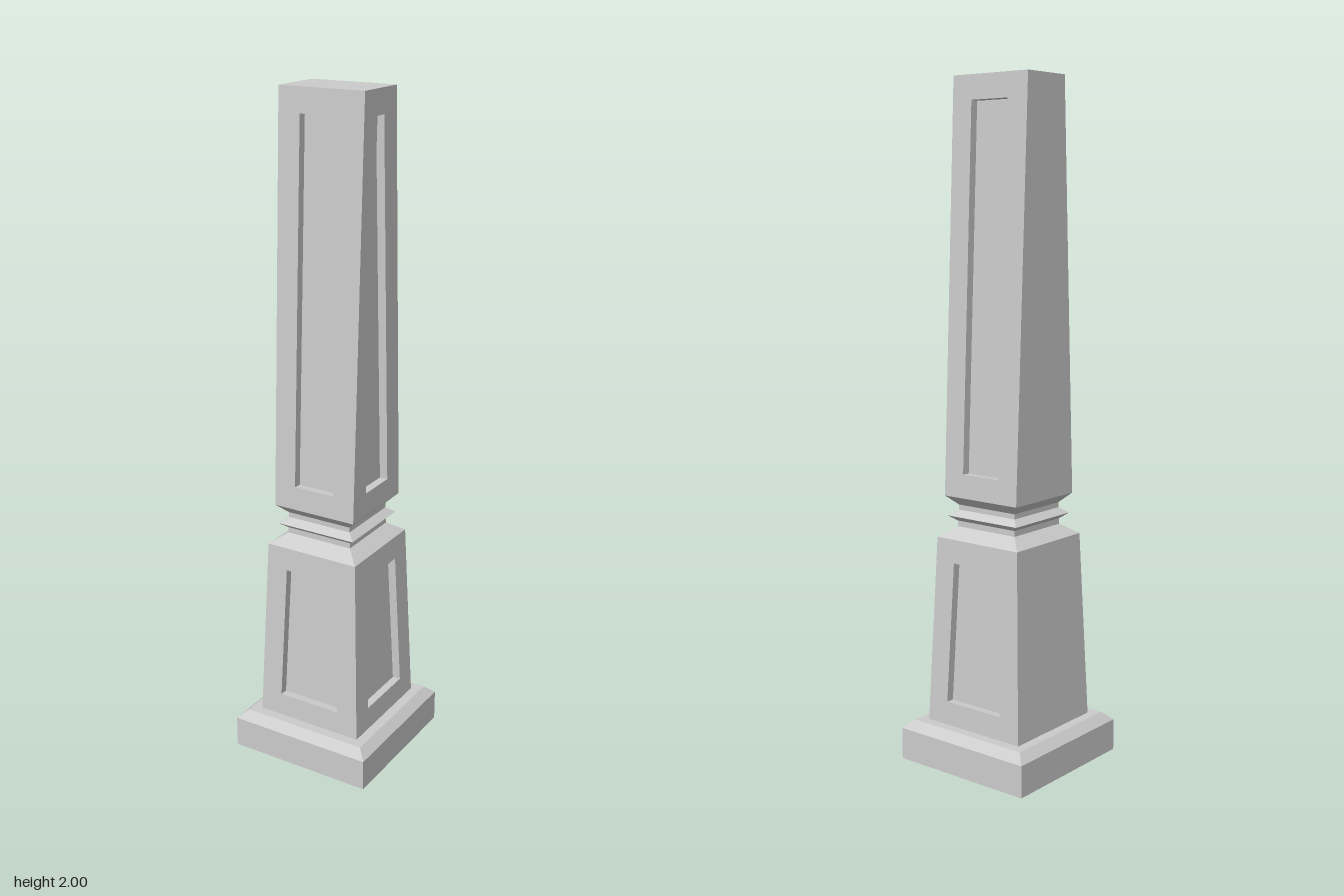
import * as THREE from 'three';

const material = new THREE.MeshStandardMaterial({ color: 0xcccccc, flatShading: true });
const MARGIN = 0.068; // border left around each sunken panel
const DEPTH = 0.025; // how far panels are sunk

function addMesh(parent, name, geometry) {
  const mesh = new THREE.Mesh(geometry, material);
  mesh.name = name;
  parent.add(mesh);
  return mesh;
}

// Square moulding from [half width, height] points, listed bottom to top
function squareMoulding(profile) {
  const points = profile.map(([half, y]) => new THREE.Vector2(half * Math.SQRT2, y));
  const geometry = new THREE.LatheGeometry(points, 4, Math.PI / 4).toNonIndexed();
  geometry.computeVertexNormals();
  return geometry;
}

// Flat-shaded geometry from quads with counter-clockwise corners
function quadGeometry(quads) {
  const positions = [];
  for (const [a, b, c, d] of quads) {
    for (const p of [a, b, c, a, c, d]) positions.push(p.x, p.y, p.z);
  }
  const geometry = new THREE.BufferGeometry();
  geometry.setAttribute('position', new THREE.Float32BufferAttribute(positions, 3));
  geometry.computeVertexNormals();
  return geometry;
}

// One sloping side facing +z, with an optional sunken panel.
// bottom and top are { w: half width, d: distance from the axis, y }
function sideGeometry(bottom, top, panelled) {
  const corners = (lo, hi) => [
    new THREE.Vector3(-lo.w, lo.y, lo.d), new THREE.Vector3(lo.w, lo.y, lo.d),
    new THREE.Vector3(hi.w, hi.y, hi.d), new THREE.Vector3(-hi.w, hi.y, hi.d)];
  const outer = corners(bottom, top);
  if (!panelled) return quadGeometry([outer]);

  const at = (y) => {
    const t = (y - bottom.y) / (top.y - bottom.y);
    return {
      w: THREE.MathUtils.lerp(bottom.w, top.w, t) - MARGIN,
      d: THREE.MathUtils.lerp(bottom.d, top.d, t), y };
  };
  const rim = corners(at(bottom.y + 0.07), at(top.y - 0.07));
  const inward = new THREE.Vector3(0, bottom.d - top.d, top.y - bottom.y).normalize().multiplyScalar(-DEPTH);
  const floor = rim.map((p) => p.clone().add(inward));
  const quads = [floor];
  for (let i = 0; i < 4; i++) {
    const j = (i + 1) % 4;
    quads.push([outer[i], outer[j], rim[j], rim[i]]); // border
    quads.push([rim[i], rim[j], floor[j], floor[i]]); // recess wall
  }
  return quadGeometry(quads);
}

// Tapered four-sided shaft; the -x side is left plain
function shaft(name, bottom, top) {
  const group = new THREE.Group();
  group.name = name;
  ['frontSide', 'leftSide', 'backSide', 'rightSide'].forEach((side, i) => {
    const facing = ({ x, z, y }) => (i % 2 ? { w: z, d: x, y } : { w: x, d: z, y });
    const mesh = addMesh(group, side, sideGeometry(facing(bottom), facing(top), i !== 3));
    mesh.rotation.y = i * Math.PI / 2;
  });
  return group;
}

export function createModel() {
  const model = new THREE.Group();
  model.name = 'pillar';

  // Plinth with a chamfered upper edge
  addMesh(model, 'plinth', squareMoulding([[0, 0], [0.227, 0], [0.227, 0.095], [0.2, 0.12], [0, 0.12]]));

  // Pedestal tapering evenly on all sides
  model.add(shaft('pedestal', { x: 0.17, z: 0.17, y: 0.12 }, { x: 0.149, z: 0.149, y: 0.68 }));

  // Narrow neck with a thin projecting ridge
  addMesh(model, 'neck', squareMoulding([
    [0.149, 0.68], [0.106, 0.71], [0.106, 0.727], [0.127, 0.743],
    [0.104, 0.76], [0.104, 0.775], [0.133, 0.803]]));

  // Upper shaft tapering from front to back only
  model.add(shaft('upperShaft', { x: 0.133, z: 0.133, y: 0.803 }, { x: 0.133, z: 0.083, y: 2 }));

  // Flat top
  const cap = addMesh(model, 'flatTop', new THREE.PlaneGeometry(0.266, 0.166));
  cap.rotation.x = -Math.PI / 2;
  cap.position.y = 2;

  return model;
}
